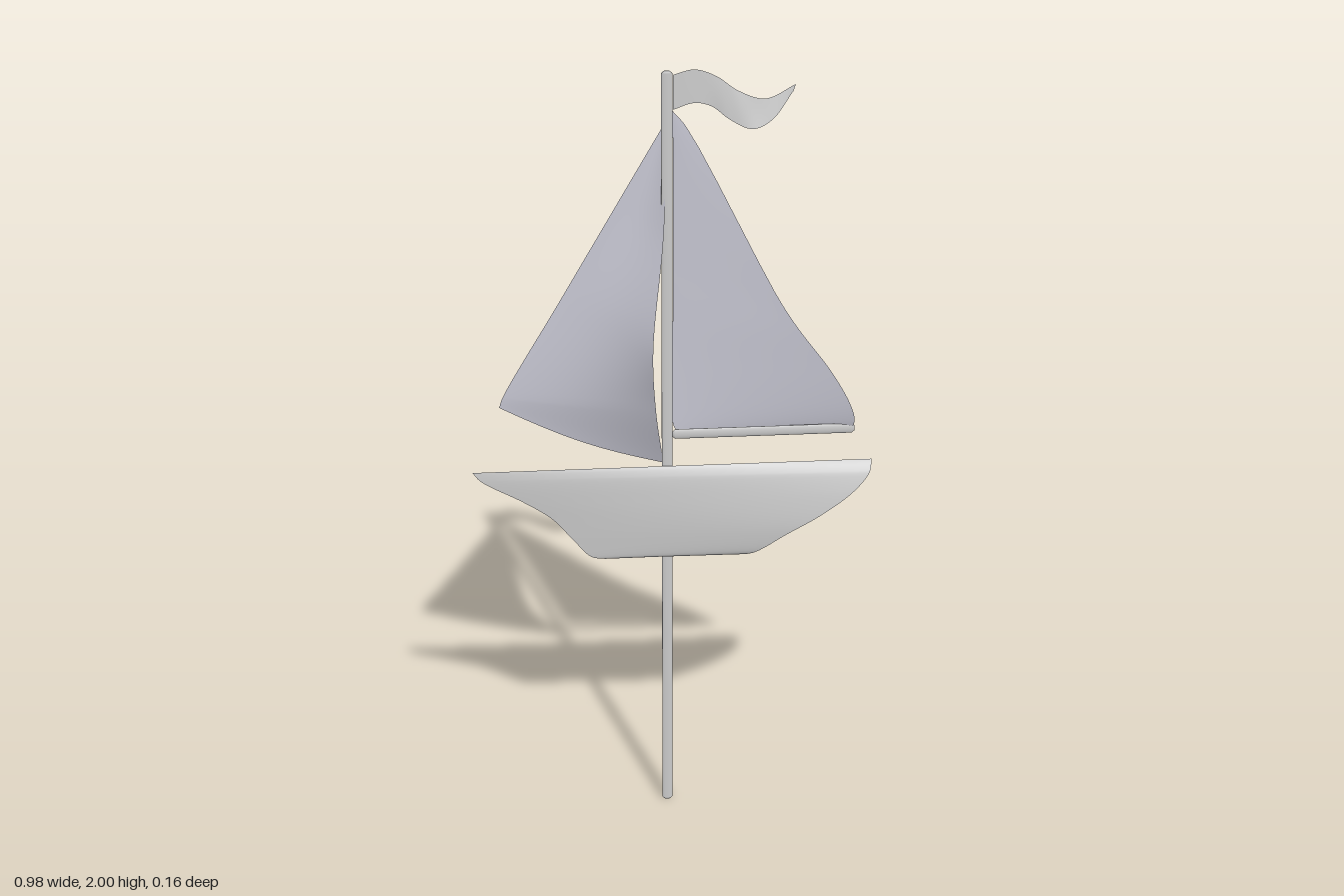
import * as THREE from 'three';

const grey = new THREE.MeshStandardMaterial({ color: 0xcccccc, side: THREE.DoubleSide });
const cloth = new THREE.MeshStandardMaterial({ color: 0xccccd8, side: THREE.DoubleSide });

// Smooth curve through a few points; z may be left out
const edge = (pts) => new THREE.CatmullRomCurve3(
  pts.map(([x, y, z = 0]) => new THREE.Vector3(x, y, z)), false, 'centripetal');

// Thin sheet spanned between a left and a right edge (both run top to bottom),
// with its z adjusted by bend(point, u, t)
function sheet(name, left, right, bend, material, nu = 28, nt = 36) {
  const pos = [], index = [];
  for (let j = 0; j <= nt; j++) {
    const t = j / nt;
    const a = left.getPoint(t), b = right.getPoint(t);
    for (let i = 0; i <= nu; i++) {
      const p = a.clone().lerp(b, i / nu);
      bend(p, i / nu, t);
      pos.push(p.x, p.y, p.z);
      if (i < nu && j < nt) {
        const k = j * (nu + 1) + i, m = k + nu + 1;
        index.push(k, m, k + 1, k + 1, m, m + 1);
      }
    }
  }
  const geo = new THREE.BufferGeometry();
  geo.setAttribute('position', new THREE.Float32BufferAttribute(pos, 3));
  geo.setIndex(index);
  geo.computeVertexNormals();
  const mesh = new THREE.Mesh(geo, material);
  mesh.name = name;
  return mesh;
}

// Flattened bar with softly rounded ends
function bar(name, length, width, depth) {
  const r = width / 2, c = 0.006, h = length / 2;
  const profile = [[0, -h], [r - c, -h], [r, -h + c], [r, h - c], [r - c, h], [0, h]]
    .map(([x, y]) => new THREE.Vector2(x, y));
  const mesh = new THREE.Mesh(new THREE.LatheGeometry(profile, 20), grey);
  mesh.scale.z = depth / width;
  mesh.name = name;
  return mesh;
}

export function createModel() {
  const group = new THREE.Group();
  group.name = 'sailboatOnPole';

  // Pole that doubles as the mast
  const mast = bar('mast', 2, 0.026, 0.008);
  mast.position.set(-0.014, 1, 0.026);
  group.add(mast);

  // Boom along the foot of the mainsail
  const boom = bar('boom', 0.447, 0.026, 0.008);
  boom.rotation.z = Math.PI / 2;
  boom.position.set(0.223, 1.084, 0.024);
  group.add(boom);

  // Hull: one bowed sheet, fuller towards the stern
  group.add(sheet('hull',
    edge([[-0.49, 1.005], [-0.47, 0.98], [-0.37, 0.92], [-0.3, 0.87], [-0.25, 0.81], [-0.205, 0.758], [-0.17, 0.75]]),
    edge([[0.49, 1.005], [0.482, 0.978], [0.44, 0.93], [0.36, 0.87], [0.28, 0.82], [0.2, 0.765], [0.15, 0.75]]),
    (p, u, t) => {
      p.z = 0.04 + (0.002 + 0.037 * u) * Math.pow(Math.max(0, Math.sin(Math.PI * t)), 0.75);
    }, grey));

  // Mainsail: belly grows towards the trailing edge, low down
  group.add(sheet('mainsail',
    edge([[0, 1.895], [0.003, 1.8], [0.003, 1.5], [0.003, 1.35], [0.003, 1.24], [0.003, 1.15], [0.004, 1.09], [0.012, 1.072]]),
    edge([[0.002, 1.895], [0.035, 1.855], [0.25, 1.44], [0.3, 1.36], [0.38, 1.25], [0.43, 1.16], [0.445, 1.11], [0.44, 1.082]]),
    (p, u) => {
      const h = Math.min(1, Math.max(0, (p.y - 1.07) / 0.825));
      p.z = -0.02 + 0.015 * h + 0.07 * p.x + 0.033 * u * Math.sin(Math.PI * Math.sqrt(h));
    }, cloth));

  // Jib: free edge swings back, inner edge bows forward of the mast
  group.add(sheet('jib',
    edge([[-0.016, 1.87, 0], [-0.12, 1.68, -0.02], [-0.27, 1.405, -0.05], [-0.41, 1.15, -0.077], [-0.42, 1.12, -0.08]]),
    edge([[-0.014, 1.87, 0], [-0.022, 1.62, 0.042], [-0.05, 1.34, 0.077], [-0.042, 1.16, 0.038], [-0.02, 0.985, -0.018]]),
    (p, u, t) => {
      const s = Math.sin(Math.PI * u);
      p.y -= 0.018 * s * t * t * t;
      p.z -= 0.012 * s * Math.sin(Math.PI * t);
    }, cloth));

  // Pennant: upper and lower edges ripple together
  const upper = edge([[0, 1.99, 0.025], [0.05, 1.998, 0.014], [0.1, 1.98, 0.01], [0.15, 1.948, 0.022],
    [0.21, 1.933, 0.036], [0.28, 1.96, 0.02]]);
  const lower = edge([[0, 1.908, 0.025], [0.05, 1.92, 0.016], [0.09, 1.91, 0.014], [0.13, 1.883, 0.03],
    [0.18, 1.866, 0.05], [0.225, 1.885, 0.045], [0.275, 1.945, 0.022]]);
  group.add(sheet('pennant', lower, upper, () => {}, grey, 6, 32));

  return group;
}
